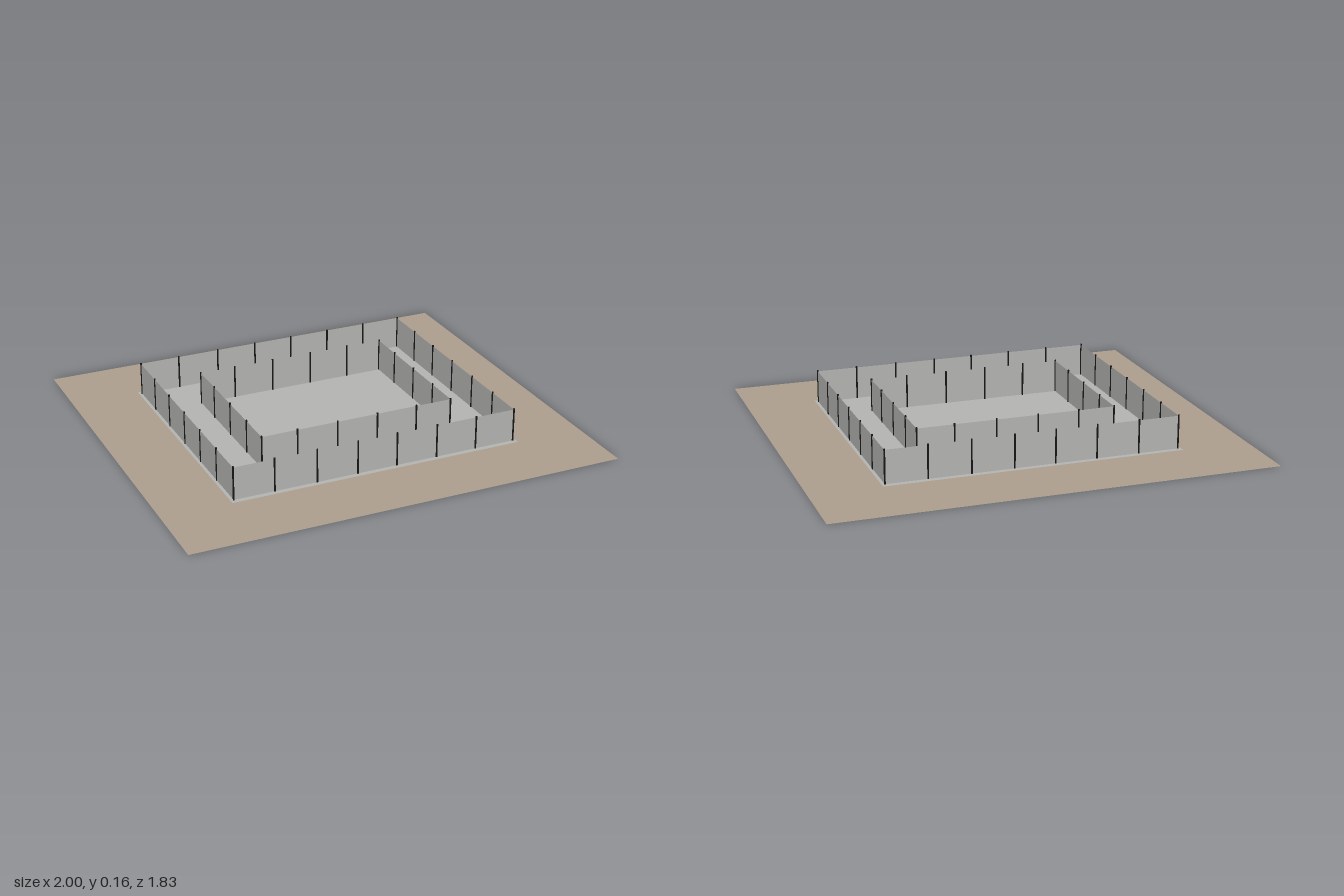
import * as THREE from 'three';

const ground = new THREE.MeshStandardMaterial({ color: 0xab9d8c, side: THREE.DoubleSide });
const concrete = new THREE.MeshStandardMaterial({ color: 0xb2b2b0, side: THREE.DoubleSide });
const blackMetal = new THREE.MeshStandardMaterial({ color: 0x161616 });
ground.name = 'ground';
concrete.name = 'concrete';
blackMetal.name = 'blackMetal';

const FLOOR = 0.004, WALL_TOP = 0.156, POST_TOP = 0.161, POST_RADIUS = 0.004;

function add(parent, name, geometry, material, x, y, z) {
  const mesh = new THREE.Mesh(geometry, material);
  mesh.name = name;
  mesh.position.set(x, y, z);
  parent.add(mesh);
  return mesh;
}

// Rectangular enclosure: flat panels between posts at the given x and z stations
function enclosure(name, xs, zs) {
  const group = new THREE.Group();
  group.name = name;
  const [x0, x1, z0, z1] = [xs[0], xs.at(-1), zs[0], zs.at(-1)];
  const corners = [
    ...xs.map((x) => [x, z1]),
    ...zs.slice(1, -1).reverse().map((z) => [x1, z]),
    ...[...xs].reverse().map((x) => [x, z0]),
    ...zs.slice(1, -1).map((z) => [x0, z]),
  ];
  const height = WALL_TOP - FLOOR;
  const postGeometry = new THREE.CylinderGeometry(POST_RADIUS, POST_RADIUS, POST_TOP, 8);
  corners.forEach(([x, z], i) => {
    const [nx, nz] = corners[(i + 1) % corners.length];
    const panel = new THREE.PlaneGeometry(Math.hypot(nx - x, nz - z), height);
    add(group, 'wallPanel', panel, concrete, (x + nx) / 2, FLOOR + height / 2, (z + nz) / 2)
      .rotation.y = Math.atan2(z - nz, nx - x);
    add(group, 'post', postGeometry, blackMetal, x, POST_TOP / 2, z);
  });
  return group;
}

export function createModel() {
  const model = new THREE.Group();
  model.name = 'walledYard';

  // Ground sheet and the paved slab lying on it
  const sheet = new THREE.PlaneGeometry(2, 1.825).rotateX(-Math.PI / 2);
  add(model, 'groundSheet', sheet, ground, 0, 0, 0);
  const slab = new THREE.PlaneGeometry(1.365, 1.195).rotateX(-Math.PI / 2);
  add(model, 'pavedSlab', slab, concrete, -0.002, FLOOR, -0.002);

  // Outer and inner walls
  model.add(enclosure('outerWall',
    [-0.67, -0.483, -0.287, -0.096, 0.091, 0.284, 0.477, 0.666],
    [-0.575, -0.385, -0.195, -0.002, 0.19, 0.381, 0.572]));
  model.add(enclosure('innerWall',
    [-0.453, -0.285, -0.094, 0.099, 0.291, 0.462],
    [-0.363, -0.195, -0.002, 0.19, 0.361]));
  return model;
}
